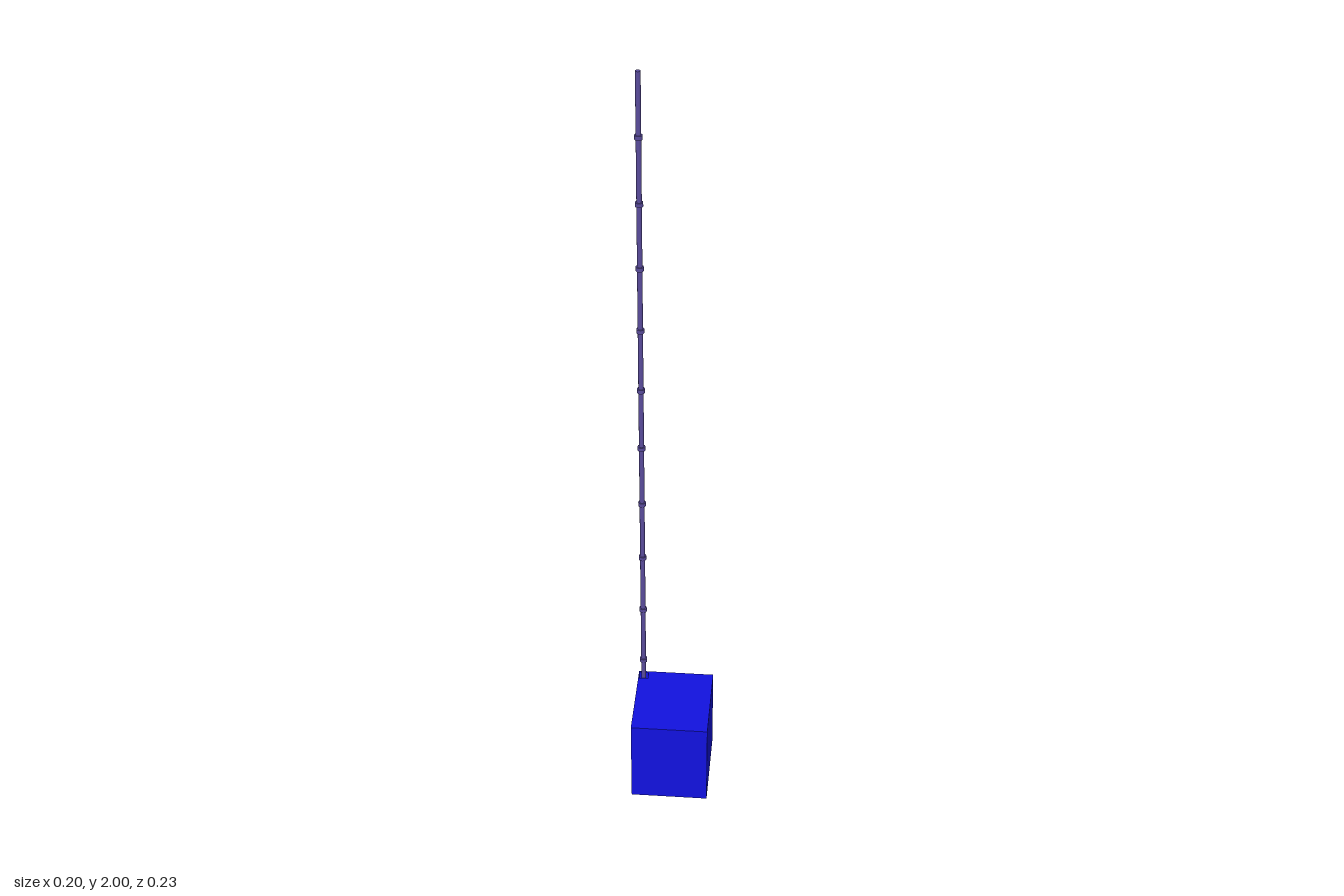
import * as THREE from 'three';

export function createModel() {
  const model = new THREE.Group();
  const blue = new THREE.MeshStandardMaterial({ color: 0x1212e0 });
  const violet = new THREE.MeshStandardMaterial({ color: 0x5a4c9c });
  const add = (parent, name, geometry, material, x = 0, y = 0, z = 0) => {
    const mesh = new THREE.Mesh(geometry, material);
    mesh.name = name;
    mesh.position.set(x, y, z);
    parent.add(mesh);
    return mesh;
  };

  // Base block with a square socket in its back corner
  const height = 0.237, poleX = -0.087, poleZ = -0.1, half = 0.0125;
  const rect = (path, x0, x1, y0, y1) => {
    path.moveTo(x0, y0);
    path.lineTo(x1, y0);
    path.lineTo(x1, y1);
    path.lineTo(x0, y1);
    path.closePath();
    return path;
  };
  const outline = rect(new THREE.Shape(), -0.101, 0.101, -0.117, 0.117);
  outline.holes.push(rect(new THREE.Path(), poleX - half, poleX + half, -poleZ - half, -poleZ + half));
  const block = new THREE.ExtrudeGeometry(outline, { depth: height, bevelEnabled: false });
  block.rotateX(-Math.PI / 2);
  add(model, 'base', block, blue);

  // Underside of the socket
  const cover = new THREE.PlaneGeometry(half * 2, half * 2).rotateX(Math.PI / 2);
  add(model, 'socketUnderside', cover, blue, poleX, 0, poleZ);

  // Thin pole with evenly spaced joint collars
  const pole = new THREE.Group();
  pole.name = 'pole';
  pole.position.set(poleX, 0, poleZ);
  model.add(pole);
  const bottom = 0.12, top = 2;
  add(pole, 'rod', new THREE.CylinderGeometry(0.0065, 0.0065, top - bottom, 16), violet, 0, (top + bottom) / 2, 0);
  const collar = new THREE.CylinderGeometry(0.0098, 0.0098, 0.011, 16);
  for (let i = 0; i < 10; i++) {
    add(pole, 'collar', collar, violet, 0, 0.293 + i * 0.1715, 0);
  }

  return model;
}
